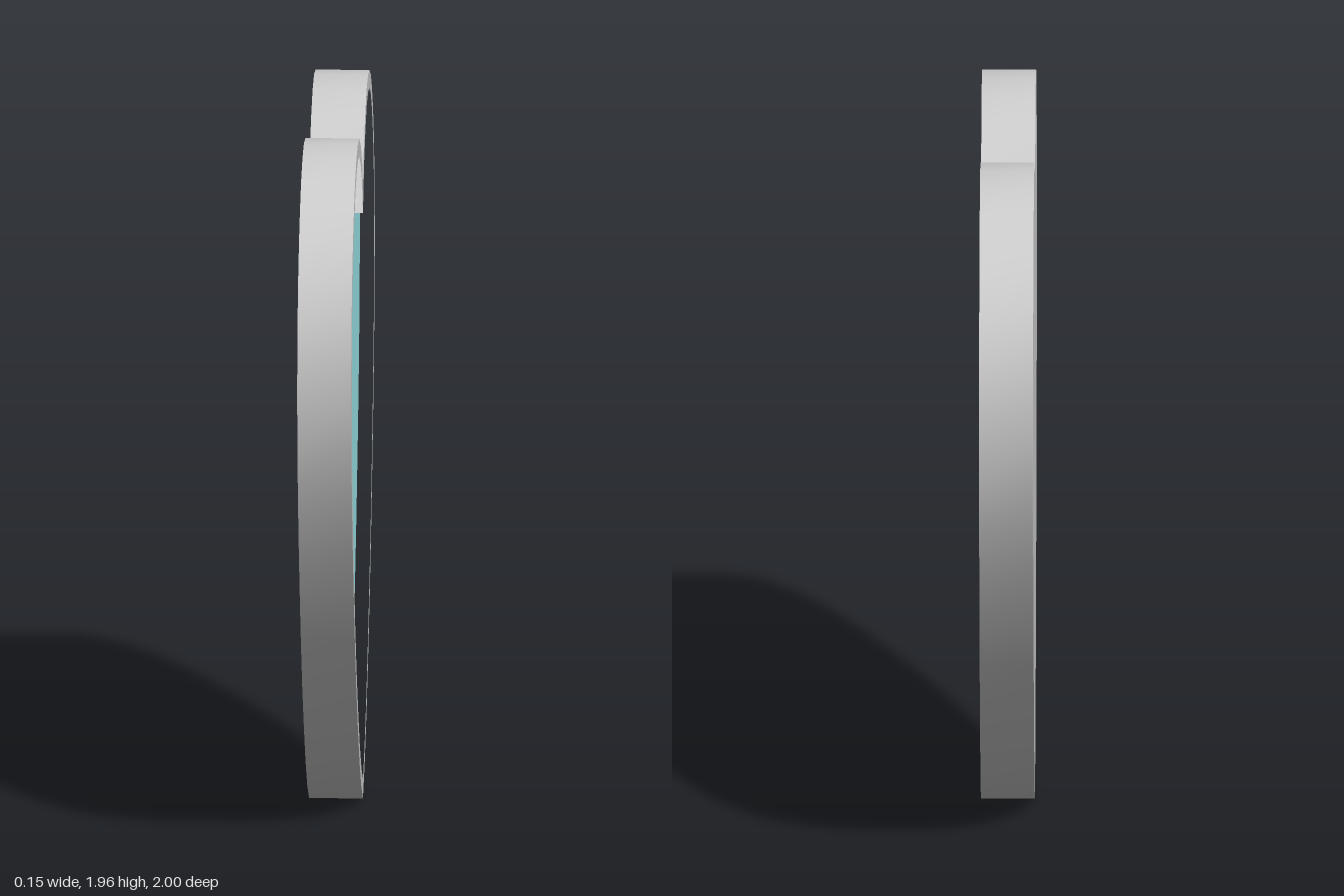
import * as THREE from 'three';
import { toCreasedNormals } from 'three/addons/utils/BufferGeometryUtils.js';

const BACK = -0.075, PLATE = -0.072, FLOOR = 0.035, FRONT = 0.075, RIM = 0.05;

// Half outline of the heart, from the notch down to the tip
const HALF = [
  [0, 1.74], [0.055, 1.82], [0.18, 1.9], [0.305, 1.95], [0.43, 1.964], [0.55, 1.95],
  [0.665, 1.912], [0.765, 1.85], [0.85, 1.775], [0.92, 1.685], [0.97, 1.58], [0.995, 1.47],
  [1, 1.35], [0.985, 1.215], [0.94, 1.07], [0.875, 0.92], [0.79, 0.765], [0.695, 0.61],
  [0.58, 0.455], [0.445, 0.31], [0.3, 0.175], [0.15, 0.07], [0, 0],
];

// Full closed outline, mirrored, running clockwise
function heartOutline() {
  const right = HALF.map(([x, y]) => new THREE.Vector2(x, y));
  const left = right.slice(1, -1).reverse().map((p) => new THREE.Vector2(-p.x, p.y));
  return [...right, ...left];
}

// Moves a clockwise outline inwards with limited mitred corners
function inset(points, distance) {
  const n = points.length;
  return points.map((p, i) => {
    const a = p.clone().sub(points[(i + n - 1) % n]).normalize();
    const b = points[(i + 1) % n].clone().sub(p).normalize();
    const inward = new THREE.Vector2(a.y + b.y, -a.x - b.x).normalize();
    const miter = Math.min(1.45, 1 / (inward.x * a.y - inward.y * a.x));
    return p.clone().addScaledVector(inward, distance * miter);
  });
}

// Extrudes a shape along x from x0 to x1
function slab(name, shape, x0, x1, material) {
  const flat = new THREE.ExtrudeGeometry(shape, { depth: x1 - x0, bevelEnabled: false });
  const geometry = toCreasedNormals(flat, 0.5);
  geometry.rotateY(Math.PI / 2).translate(x0, 0, 0);
  const mesh = new THREE.Mesh(geometry, material);
  mesh.name = name;
  return mesh;
}

export function createModel() {
  const group = new THREE.Group();
  group.name = 'heartTray';
  const grey = new THREE.MeshStandardMaterial({ color: 0xcccccc });
  const teal = new THREE.MeshStandardMaterial({ color: 0x9be4e8 });

  const outer = heartOutline();
  const inner = inset(outer, RIM);

  // Thin plate closing the back
  group.add(slab('backPlate', new THREE.Shape(outer), BACK, PLATE, grey));

  // Rim standing proud of the panel
  const ring = new THREE.Shape(outer);
  ring.holes.push(new THREE.Path(inner));
  group.add(slab('rim', ring, PLATE, FRONT, grey));

  // Coloured panel filling the rim up to the recess floor
  group.add(slab('panel', new THREE.Shape(inner), PLATE, FLOOR, teal));

  return group;
}
